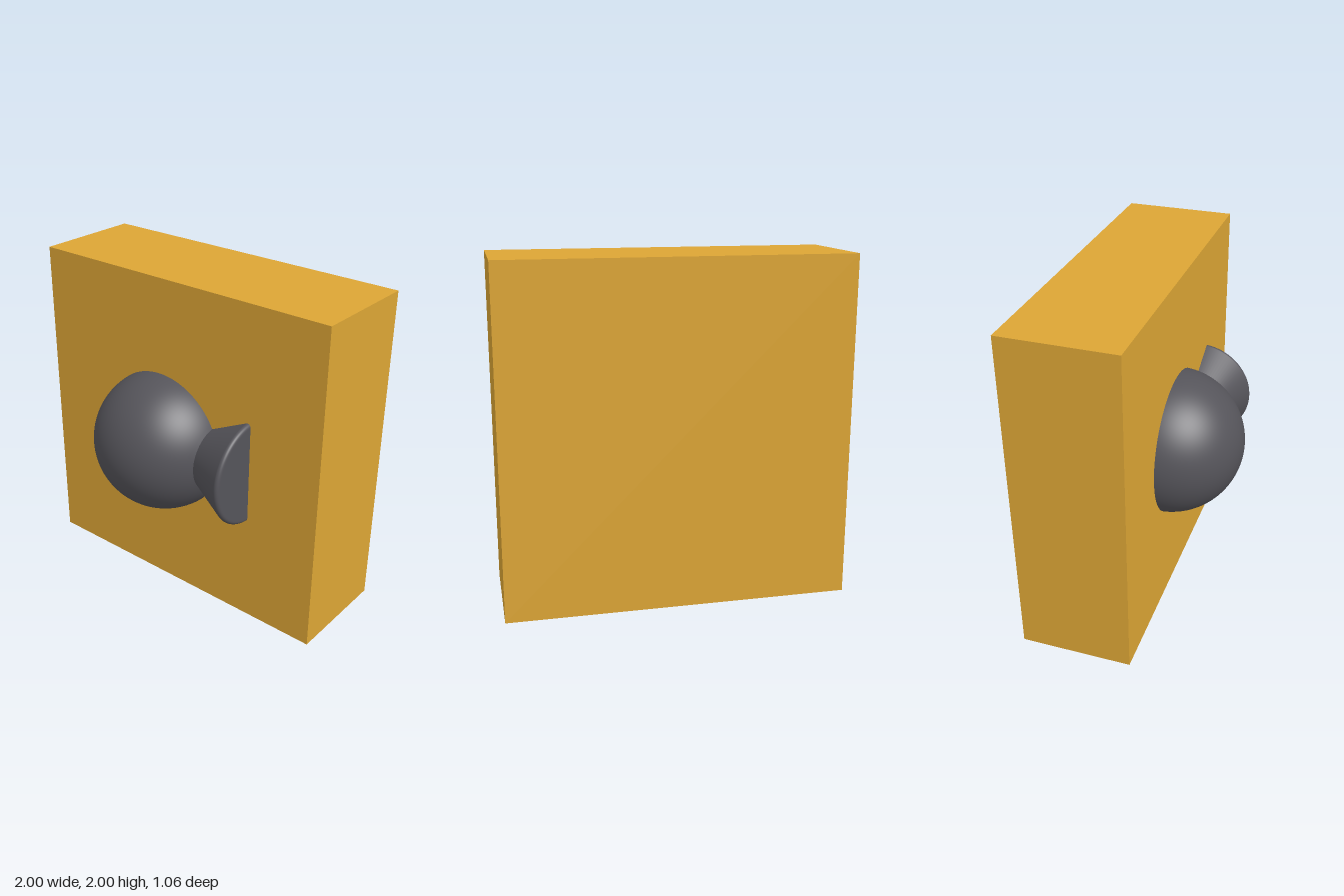
import * as THREE from 'three';

const paint = (color) => new THREE.MeshStandardMaterial({ color });

// Points on an arc of a turned profile: x is the radius, y runs along the axis
function arc(cx, cy, r, from, to, steps) {
  return Array.from({ length: steps + 1 }, (_, i) => {
    const a = from + ((to - from) * i) / steps;
    return new THREE.Vector2(Math.max(0, cx + r * Math.cos(a)), cy + r * Math.sin(a));
  });
}

export function createModel() {
  const group = new THREE.Group();

  // Square backing block
  const block = new THREE.Mesh(new THREE.BoxGeometry(2, 2, 0.66), paint(0xdca535));
  block.name = 'backingBlock';
  block.position.set(0, 1, -0.2);
  group.add(block);

  // Bulb and flared foot share one sideways axis, partly sunk into the block
  const knob = new THREE.Group();
  knob.name = 'knob';
  knob.position.set(-0.11, 0.987, 0.1);
  knob.rotation.z = -Math.PI / 2;
  group.add(knob);

  const dark = paint(0x55545a);
  const turn = (name, profile) => {
    const mesh = new THREE.Mesh(new THREE.LatheGeometry(profile, 96), dark);
    mesh.name = name;
    knob.add(mesh);
  };

  // Round bulb, ending where the foot begins
  turn('bulb', arc(0, 0, 0.432, -Math.PI / 2, Math.acos(0.2 / 0.432), 48));

  // Flared foot with a softened rim and a flat end
  const flare = -Math.atan2(0.12, 0.25);
  turn('flaredFoot', [
    new THREE.Vector2(0.2, 0.382),
    ...arc(0.3, 0.63, 0.02, flare, Math.PI / 2, 8),
    new THREE.Vector2(0.295, 0.65),
    new THREE.Vector2(0, 0.65),
  ]);

  return group;
}
